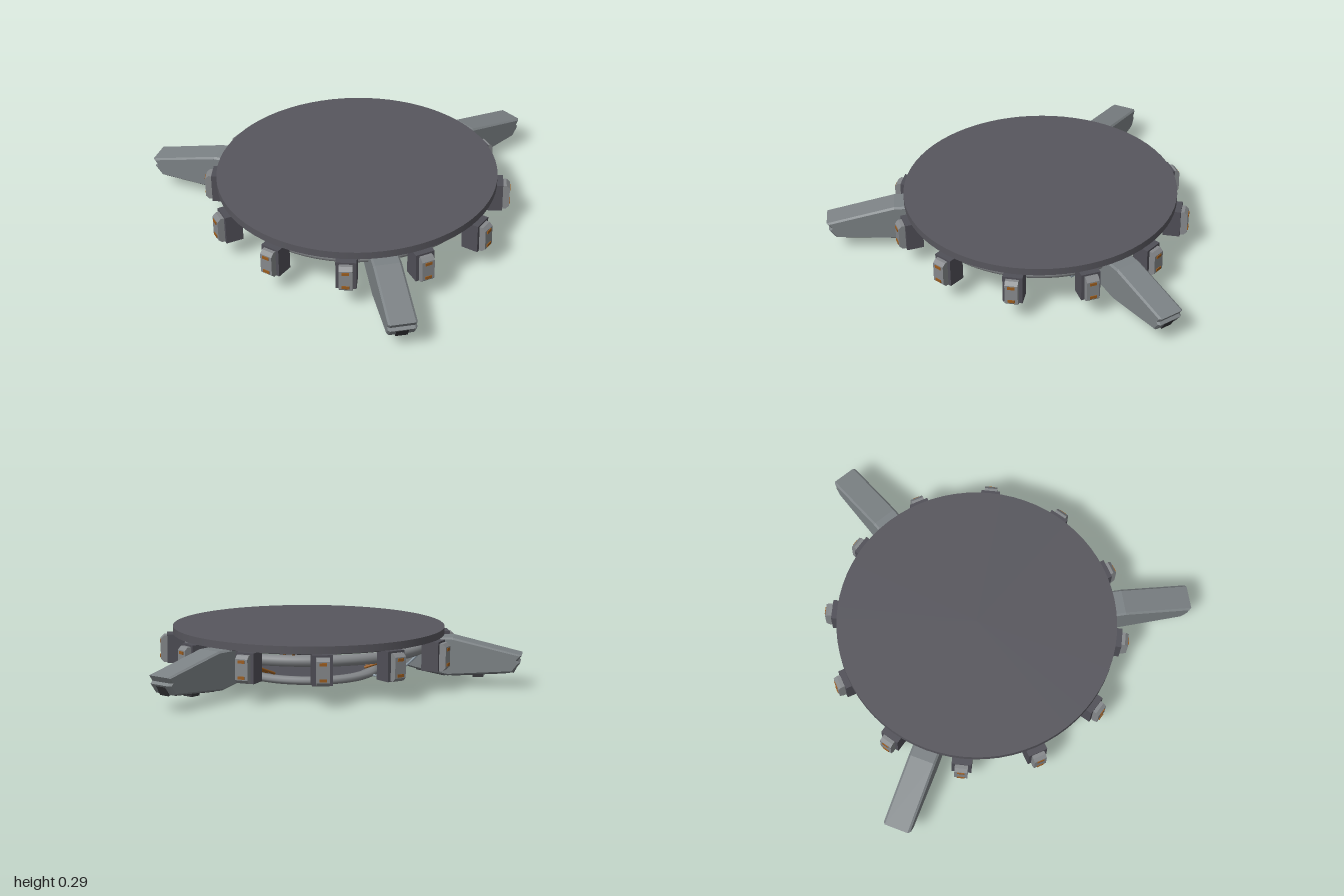
import * as THREE from 'three';

const mat = (name, color, side = THREE.FrontSide) => {
  const m = new THREE.MeshStandardMaterial({ color, side });
  m.name = name;
  return m;
};

export function createModel() {
  const deckGrey = mat('deck grey', 0x57565d);
  const darkGrey = mat('dark grey', 0x353539);
  const blockGrey = mat('block grey', 0x504f57);
  const armGrey = mat('arm grey', 0x7c8285);
  const pipeGrey = mat('pipe grey', 0x85888b);
  const steel = mat('blue steel', 0x93a2ad);
  const orange = mat('burnt orange', 0x9a5c1e);

  const model = new THREE.Group();
  model.name = 'landingPad';
  const pad = new THREE.Group();
  pad.name = 'pad';
  pad.position.x = -0.18;
  model.add(pad);

  const add = (parent, name, geometry, material, x = 0, y = 0, z = 0) => {
    const mesh = new THREE.Mesh(geometry, material);
    mesh.name = name;
    mesh.position.set(x, y, z);
    parent.add(mesh);
    return mesh;
  };
  // A group whose local +x points outward at the given angle (towards +z)
  const spoke = (name, angle) => {
    const group = new THREE.Group();
    group.name = name;
    group.rotation.y = -angle;
    pad.add(group);
    return group;
  };
  const box = (w, h, d) => new THREE.BoxGeometry(w, h, d);
  const profile = (pts) => new THREE.Shape(pts.map(([x, y]) => new THREE.Vector2(x, y)));
  const lathe = (pts) => new THREE.LatheGeometry(pts.map(([x, y]) => new THREE.Vector2(x, y)), 72);

  // Round deck with a dark underside
  add(pad, 'deck', new THREE.CylinderGeometry(0.715, 0.715, 0.038, 72), deckGrey, 0, 0.276, 0);
  add(pad, 'deckUnderside', new THREE.CylinderGeometry(0.69, 0.69, 0.008, 72), darkGrey, 0, 0.254, 0);
  const ring = add(pad, 'pipeRing', new THREE.TorusGeometry(0.625, 0.028, 14, 96), pipeGrey, 0, 0.207, 0);
  ring.rotation.x = Math.PI / 2;

  // Twelve clamps around the rim
  for (let i = 0; i < 12; i++) {
    const clamp = spoke('clamp', (Math.PI / 12) * (1 + 2 * i));
    add(clamp, 'clampBody', box(0.09, 0.152, 0.1), blockGrey, 0.7, 0.181, 0);
    const plate = new THREE.ExtrudeGeometry(
      profile([[0.743, 0.108], [0.763, 0.108], [0.78, 0.125], [0.78, 0.23], [0.763, 0.247], [0.743, 0.247]]),
      { depth: 0.066, bevelEnabled: false });
    add(clamp, 'clampPlate', plate, pipeGrey, 0, 0, -0.033);
    for (const y of [0.138, 0.217])
      add(clamp, 'clampLight', box(0.006, 0.015, 0.036), orange, 0.781, y, 0);
  }

  // Three tapering arms with struts and hoses to the turbine
  const armShape = profile([[0.51, 0.115], [0.57, 0.245], [0.765, 0.245], [1.108, 0.168], [1.088, 0.143],
    [1.1, 0.13], [1.07, 0.09], [0.74, 0.065], [0.57, 0.098]]);
  const armGeometry = new THREE.ExtrudeGeometry(armShape,
    { depth: 0.12, bevelThickness: 0.01, bevelSize: 0.009, bevelSegments: 1 });
  const hosePath = new THREE.CatmullRomCurve3([[0.34, 0.05, 0.08], [0.4, 0.05, 0.11], [0.48, 0.075, 0.145],
    [0.54, 0.125, 0.175], [0.61, 0.195, 0.19]].map((p) => new THREE.Vector3(...p)));
  const hoseGeometry = new THREE.TubeGeometry(hosePath, 32, 0.006, 8);
  for (let i = 0; i < 3; i++) {
    const arm = spoke('arm', (i * Math.PI * 2) / 3);
    add(arm, 'armShell', armGeometry, armGrey, 0, 0, -0.06);
    // Dark fittings under the arm and at its tip
    add(arm, 'bellyPlate', box(0.28, 0.012, 0.07), darkGrey, 0.9, 0.067, 0).rotation.z = 0.076;
    add(arm, 'innerBellyPlate', box(0.15, 0.012, 0.08), darkGrey, 0.65, 0.071, 0).rotation.z = -0.19;
    add(arm, 'foot', box(0.055, 0.026, 0.06), darkGrey, 0.895, 0.06, 0);
    add(arm, 'tipFitting', box(0.05, 0.055, 0.06), darkGrey, 1.07, 0.11, 0).rotation.z = -0.5;
    for (const side of [-1, 1]) {
      const strut = add(arm, 'strut', new THREE.CylinderGeometry(0.007, 0.007, 0.25, 8), orange, 0.42, 0.12, side * 0.025);
      strut.rotation.z = -Math.PI / 2 + 0.36;
    }
    add(arm, 'hose', hoseGeometry, steel);
  }

  // Turbine hung below the deck
  add(pad, 'turbineRim', lathe([[0.31, 0.04], [0.345, 0.034], [0.365, 0.043], [0.372, 0.055],
    [0.365, 0.068], [0.345, 0.077], [0.31, 0.072], [0.31, 0.04]]), pipeGrey);
  add(pad, 'turbineBack', new THREE.CylinderGeometry(0.315, 0.315, 0.018, 64), blockGrey, 0, 0.056, 0);
  const innerRing = add(pad, 'innerRing', new THREE.TorusGeometry(0.275, 0.009, 10, 72), steel, 0, 0.044, 0);
  innerRing.rotation.x = Math.PI / 2;
  add(pad, 'bladeBacking', new THREE.CylinderGeometry(0.27, 0.27, 0.006, 64), pipeGrey, 0, 0.045, 0);
  const bladeGeometry = new THREE.ExtrudeGeometry(
    profile([[0.07, -0.013], [0.255, -0.053], [0.262, 0], [0.255, 0.053], [0.07, 0.013]]),
    { depth: 0.008, bevelEnabled: false });
  bladeGeometry.rotateX(Math.PI / 2);
  for (let i = 0; i < 12; i++)
    add(spoke('bladeMount', (i * Math.PI) / 6), 'blade', bladeGeometry, darkGrey, 0, 0.045, 0);
  add(pad, 'hubCollar', new THREE.CylinderGeometry(0.075, 0.075, 0.02, 32), blockGrey, 0, 0.038, 0);
  add(pad, 'hub', lathe([[0, 0], [0.046, 0], [0.055, 0.007], [0.055, 0.03], [0, 0.03]]), steel);

  return model;
}
